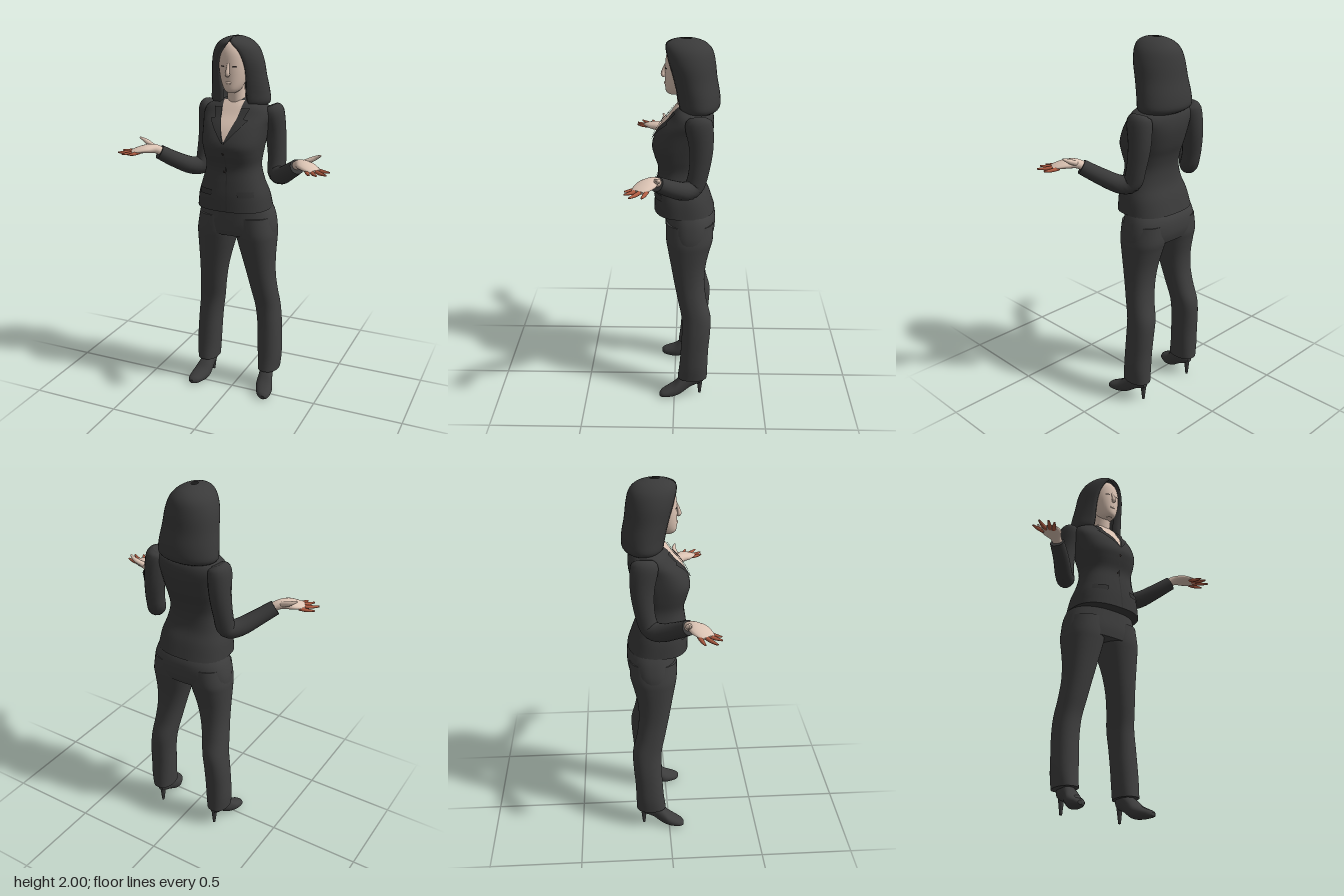
import * as THREE from 'three';

const mat = (name, color) => {
  const m = new THREE.MeshStandardMaterial({ color });
  m.name = name;
  return m;
};

// Smoothly resample rows of numbers (Catmull-Rom on every column)
function dense(rows, sub = 4) {
  const out = [], n = rows.length, at = i => rows[Math.min(Math.max(i, 0), n - 1)];
  for (let i = 0; i < n - 1; i++) {
    for (let k = 0; k < sub; k++) {
      const t = k / sub;
      out.push(rows[i].map((p1, c) => {
        const p0 = at(i - 1)[c], p2 = at(i + 1)[c], p3 = at(i + 2)[c];
        return 0.5 * (2 * p1 + (p2 - p0) * t + (2 * p0 - 5 * p1 + 4 * p2 - p3) * t * t
          + (3 * p1 - p0 - 3 * p2 + p3) * t * t * t);
      }));
    }
  }
  out.push(rows[n - 1]);
  return out;
}

// Closed surface through rings of points, capped at both ends and turned outward
function skinRings(rings) {
  const n = rings[0].length, pos = [], idx = [];
  rings.forEach(r => r.forEach(p => pos.push(p.x, p.y, p.z)));
  for (let i = 0; i < rings.length - 1; i++) {
    for (let j = 0; j < n; j++) {
      const a = i * n + j, b = i * n + (j + 1) % n;
      idx.push(a, a + n, b, b, a + n, b + n);
    }
  }
  [0, rings.length - 1].forEach((r, end) => {
    const base = pos.length / 3;
    rings[r].forEach(p => pos.push(p.x, p.y, p.z));
    for (let j = 0; j < n / 2 - 1; j++) {
      const a = base + j, b = a + 1, c = base + n - 1 - j, d = c - 1;
      idx.push(...(end ? [a, c, b, b, c, d] : [a, b, c, b, d, c]));
    }
  });
  let volume = 0;
  const v = i => new THREE.Vector3().fromArray(pos, i * 3);
  for (let i = 0; i < idx.length; i += 3) volume += v(idx[i]).dot(v(idx[i + 1]).cross(v(idx[i + 2])));
  if (volume < 0) idx.reverse();
  const g = new THREE.BufferGeometry();
  g.setAttribute('position', new THREE.Float32BufferAttribute(pos, 3));
  g.setIndex(idx);
  g.computeVertexNormals();
  return g;
}

// Rows [height, x0, x1, back, front] as superellipses; lying rows run along z instead
function loft(rows, e = 1, lying = false, seg = 40) {
  const pw = v => Math.sign(v) * Math.abs(v) ** e;
  return skinRings(rows.map(([t, x0, x1, b0, b1]) => Array.from({ length: seg }, (_, j) => {
    const a = (j + 0.5) / seg * Math.PI * 2;
    const x = (x0 + x1) / 2 + (x1 - x0) / 2 * pw(Math.cos(a));
    const b = (b0 + b1) / 2 + (b1 - b0) / 2 * pw(Math.sin(a));
    return lying ? new THREE.Vector3(x, b, t) : new THREE.Vector3(x, t, b);
  })));
}

// Tube along points [x, y, z, side radius, other radius]
function limb(points, ref = new THREE.Vector3(0, 0, 1), seg = 16) {
  const rows = dense(points), P = rows.map(r => new THREE.Vector3(r[0], r[1], r[2]));
  return skinRings(rows.map((r, i) => {
    const t = P[Math.min(i + 1, P.length - 1)].clone().sub(P[Math.max(i - 1, 0)]).normalize();
    const s = t.clone().cross(ref).normalize(), u = s.clone().cross(t);
    return Array.from({ length: seg }, (_, j) => {
      const a = (j + 0.5) / seg * Math.PI * 2;
      return P[i].clone().addScaledVector(s, r[3] * Math.cos(a)).addScaledVector(u, r[4] * Math.sin(a));
    });
  }));
}

// Front depth of a loft at (x, y)
function frontZ(rows, e, x, y) {
  let i = 0;
  while (i < rows.length - 2 && rows[i + 1][0] < y) i++;
  const k = (y - rows[i][0]) / (rows[i + 1][0] - rows[i][0]);
  const [, x0, x1, b0, b1] = rows[i].map((v, c) => v + (rows[i + 1][c] - v) * k);
  const u = Math.min(Math.abs(x - (x0 + x1) / 2) / ((x1 - x0) / 2), 1);
  return (b0 + b1) / 2 + (b1 - b0) / 2 * Math.max(1 - u ** (2 / e), 0) ** (e / 2);
}

// Thin piece laid on the front of a loft; outline rows [y, xa, xb] run upward
function patch(rows, e, outline, lift) {
  const pos = [], idx = [], cols = 8, lines = [];
  for (let i = 0; i < outline.length - 1; i++) {
    for (let k = i ? 1 : 0; k <= 6; k++) {
      lines.push(outline[i].map((v, c) => v + (outline[i + 1][c] - v) * k / 6));
    }
  }
  lines.forEach(([y, xa, xb], i) => {
    for (let j = 0; j <= cols; j++) {
      const x = Math.min(xa, xb) + Math.abs(xb - xa) * j / cols, a = i * (cols + 1) + j;
      pos.push(x, y, frontZ(rows, e, x, y) + lift);
      if (i < lines.length - 1 && j < cols) idx.push(a, a + 1, a + cols + 2, a, a + cols + 2, a + cols + 1);
    }
  });
  const g = new THREE.BufferGeometry();
  g.setAttribute('position', new THREE.Float32BufferAttribute(pos, 3));
  g.setIndex(idx);
  g.computeVertexNormals();
  return g;
}

export function createModel() {
  const model = new THREE.Group();
  const jacket = mat('jacket charcoal', 0x393939), trim = mat('lapel charcoal', 0x343434);
  const cloth = mat('trouser charcoal', 0x3f3f3f), hairMat = mat('hair charcoal', 0x3a3a3a);
  const skin = mat('skin', 0xdcc4b4), coral = mat('finger coral', 0xb05c42);
  const shoeMat = mat('shoe charcoal', 0x3c3c3c), dark = mat('eye dark', 0x2a2422);
  const add = (name, geo, m) => {
    const mesh = new THREE.Mesh(geo, m);
    mesh.name = name;
    model.add(mesh);
    return mesh;
  };
  const sym = rows => dense(rows.map(([y, rx, zb, zf]) => [y, -rx, rx, zb, zf]));
  const up = new THREE.Vector3(0, 1, 0);

  // Jacket body
  const torso = sym([[1.1, 0.202, -0.212, 0.11], [1.18, 0.19, -0.185, 0.106], [1.25, 0.167, -0.155, 0.097],
    [1.33, 0.147, -0.147, 0.088], [1.4, 0.156, -0.16, 0.108], [1.46, 0.165, -0.182, 0.118],
    [1.54, 0.175, -0.2, 0.08], [1.6, 0.185, -0.2, 0.028], [1.64, 0.165, -0.185, 0],
    [1.67, 0.09, -0.15, -0.022], [1.685, 0.05, -0.13, -0.035]]);
  const E = 0.8;
  add('jacketBody', loft(torso, E), jacket);
  add('chest', patch(torso, E, [[1.48, -0.002, 0.002], [1.58, -0.042, 0.042], [1.675, -0.058, 0.058]], 0.004), skin);
  add('frontSeam', patch(torso, E, [[1.1, 0.012, 0.02], [1.48, 0, 0.004]], 0.004), trim);
  [1.41, 1.31].forEach(y => add('button', patch(torso, E, [[y, -0.006, 0.006], [y + 0.012, -0.006, 0.006]], 0.007), dark));

  // Head, neck and face
  add('neck', limb([[0, 1.6, -0.075, 0.058, 0.055], [0, 1.68, -0.06, 0.048, 0.048], [0, 1.78, -0.05, 0.048, 0.05]]), skin);
  const head = sym([[1.718, 0.022, -0.04, 0.03], [1.735, 0.043, -0.07, 0.046], [1.78, 0.064, -0.09, 0.05],
    [1.85, 0.079, -0.11, 0.05], [1.92, 0.074, -0.11, 0.042], [1.96, 0.05, -0.09, 0.02], [1.972, 0.02, -0.06, -0.01]]);
  add('head', loft(head), skin);
  add('nose', limb([[0, 1.87, 0.045, 0.007, 0.006], [0, 1.835, 0.058, 0.01, 0.009],
    [0, 1.816, 0.06, 0.013, 0.011], [0, 1.806, 0.052, 0.006, 0.005]]), skin);
  add('lips', limb([[-0.022, 1.772, 0.041, 0.002, 0.002], [0, 1.774, 0.05, 0.007, 0.006], [0.022, 1.772, 0.041, 0.002, 0.002]]), skin);

  // Hair shell with a face opening; the last number is half the opening angle
  const hair = dense([[1.635, 0.13, -0.2, -0.035, 0.6], [1.66, 0.163, -0.23, -0.012, 0.52], [1.72, 0.16, -0.23, 0, 0.5],
    [1.8, 0.148, -0.215, 0.02, 0.57], [1.88, 0.137, -0.205, 0.043, 0.55], [1.94, 0.115, -0.19, 0.052, 0.4],
    [1.975, 0.083, -0.16, 0.043, 0.12], [1.993, 0.048, -0.12, 0.01, 0.05], [2, 0.02, -0.09, -0.03, 0.02]]);
  add('hair', skinRings(hair.map(([y, rx, zb, zf, open]) => Array.from({ length: 64 }, (_, j) => {
    const inner = j > 31, k = (inner ? 63 - j : j) / 31, a = open + k * 2 * (Math.PI - open), f = inner ? 0.8 : 1;
    return new THREE.Vector3(rx * f * Math.sin(a), y, (zb + zf) / 2 + (zf - zb) / 2 * f * Math.cos(a));
  }))), hairMat);

  // Hips
  add('hips', loft(sym([[0.945, 0.226, -0.2, 0.042], [1, 0.225, -0.216, 0.05],
    [1.08, 0.207, -0.213, 0.05], [1.16, 0.17, -0.17, 0.05]]), 0.85), cloth);

  for (const s of [1, -1]) {
    const side = s > 0 ? 'left' : 'right';
    const flip = pts => pts.map(([x, ...rest]) => [x * s, ...rest]);
    const flipRows = rows => dense(rows.map(([t, a, b, c, d]) => [t, a * s, b * s, c, d]));

    // Face details and tailoring
    add(side + 'Eye', patch(head, 1, [[1.852, 0.02 * s, 0.045 * s], [1.859, 0.024 * s, 0.042 * s]], 0.002), dark);
    add(side + 'Lapel', patch(torso, E, [[1.47, 0.001 * s, 0.006 * s], [1.56, 0.034 * s, 0.085 * s],
      [1.585, 0.043 * s, 0.105 * s], [1.59, 0.044 * s, 0.08 * s], [1.64, 0.055 * s, 0.1 * s]], 0.009), trim);
    add(side + 'PocketFlap', patch(torso, E, [[1.185, 0.075 * s, 0.155 * s], [1.215, 0.07 * s, 0.15 * s]], 0.007), trim);

    // Sleeve
    add(side + 'Sleeve', limb(flip([[0.175, 1.645, -0.12, 0.03, 0.04], [0.183, 1.615, -0.122, 0.056, 0.07],
      [0.195, 1.5, -0.135, 0.055, 0.062], [0.208, 1.38, -0.125, 0.05, 0.052], [0.217, 1.295, -0.1, 0.05, 0.05],
      [0.262, 1.29, -0.05, 0.048, 0.048], [0.33, 1.335, 0.025, 0.043, 0.043], [0.392, 1.382, 0.08, 0.039, 0.039]])), jacket);

    // Open hand, palm up
    add(side + 'Palm', limb(flip([[0.37, 1.375, 0.065, 0.024, 0.022], [0.41, 1.4, 0.092, 0.03, 0.024],
      [0.45, 1.402, 0.122, 0.05, 0.021], [0.49, 1.396, 0.148, 0.046, 0.014], [0.515, 1.39, 0.162, 0.036, 0.008]]), up), skin);
    add(side + 'Thumb', limb(flip([[0.42, 1.405, 0.085, 0.015, 0.014], [0.465, 1.425, 0.072, 0.015, 0.013],
      [0.49, 1.438, 0.07, 0.011, 0.01], [0.513, 1.45, 0.077, 0.005, 0.005]]), up, 10), skin);
    [[0.505, 0.12, 0.581, 0.142], [0.505, 0.147, 0.58, 0.2], [0.488, 0.16, 0.539, 0.226], [0.468, 0.165, 0.503, 0.227]]
      .forEach(([x0, z0, x1, z1]) => add(side + 'Finger', limb(flip([[x0, 1.39, z0, 0.011, 0.01],
        [(x0 + x1) / 2, 1.386, (z0 + z1) / 2, 0.01, 0.009], [x1, 1.387, z1, 0.005, 0.004]]), up, 10), coral));

    // Trouser leg
    add(side + 'Leg', loft(flipRows([[0.12, 0.13, 0.25, -0.185, -0.02], [0.2, 0.125, 0.257, -0.187, -0.03],
      [0.3, 0.12, 0.255, -0.19, -0.037], [0.4, 0.115, 0.25, -0.198, -0.042], [0.5, 0.103, 0.24, -0.2, -0.04],
      [0.6, 0.085, 0.23, -0.176, -0.02], [0.7, 0.065, 0.222, -0.163, 0], [0.8, 0.04, 0.222, -0.168, 0.018],
      [0.9, 0.012, 0.226, -0.19, 0.036], [0.96, 0, 0.226, -0.205, 0.045], [1.05, 0, 0.21, -0.205, 0.045]]), 0.9), cloth);

    // High-heeled shoe
    add(side + 'Shoe', loft(flipRows([[-0.165, 0.17, 0.2, 0.085, 0.13], [-0.14, 0.153, 0.212, 0.07, 0.15],
      [-0.09, 0.148, 0.218, 0.045, 0.15], [-0.04, 0.147, 0.235, 0.01, 0.115], [0, 0.15, 0.25, 0, 0.075],
      [0.045, 0.17, 0.254, 0, 0.05], [0.07, 0.188, 0.248, 0.001, 0.038], [0.083, 0.21, 0.234, 0.006, 0.026]]), 0.9, true, 24), shoeMat);
    const heel = add(side + 'Heel', new THREE.CylinderGeometry(0.018, 0.007, 0.1, 12), shoeMat);
    heel.position.set(0.182 * s, 0.05, -0.145);
  }
  return model;
}
